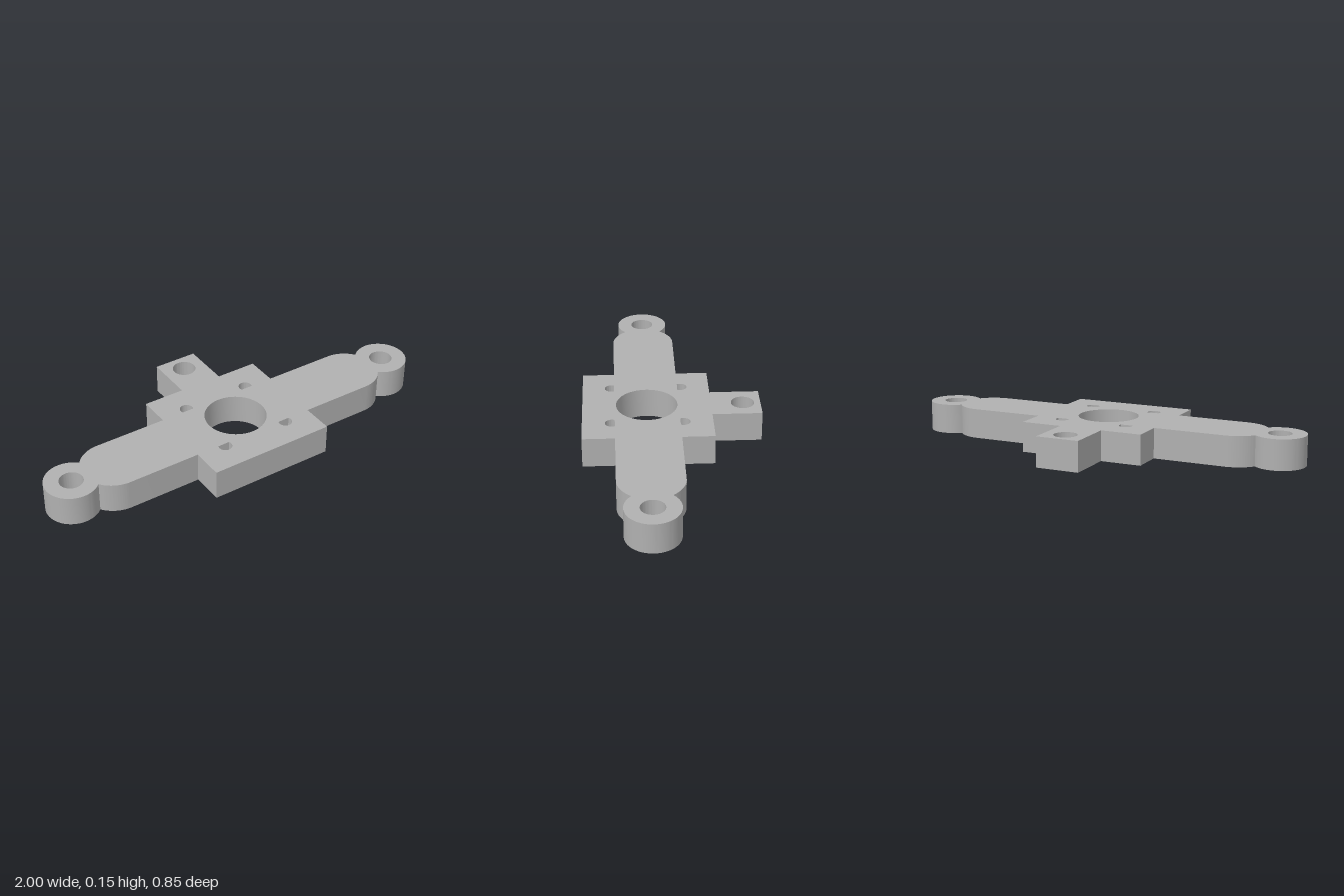
import * as THREE from 'three';
import { toCreasedNormals } from 'three/addons/utils/BufferGeometryUtils.js';

const THICK = 0.147;        // plate thickness
const CENTRE_Z = 0.119;     // z of the bore and arm axis
const ARM = { x: 0.66, r: 0.154 };    // rounded arm ends
const LUG = { x: 0.874, r: 0.126 };   // round end lugs
const BODY = 0.308;         // half width of the square body
const TAB = { w: 0.107, end: 0.546 }; // rear tab

// Outline drawn around the bore, with shape y pointing to the back
function plateOutline() {
  const PI = Math.PI;
  // Angles at which the arm end and the lug circle cross
  const d = LUG.x - ARM.x;
  const dx = (d * d + ARM.r ** 2 - LUG.r ** 2) / (2 * d);
  const dy = Math.sqrt(ARM.r ** 2 - dx * dx);
  const a = Math.atan2(dy, dx);
  const b = Math.atan2(dy, dx - d);

  const s = new THREE.Shape();
  s.moveTo(BODY, -BODY);
  s.lineTo(BODY, -ARM.r);
  // Left arm and lug
  s.absarc(ARM.x, 0, ARM.r, -PI / 2, -a);
  s.absarc(LUG.x, 0, LUG.r, -b, b);
  s.absarc(ARM.x, 0, ARM.r, a, PI / 2);
  // Body back edge with the tab
  for (const [x, y] of [
    [BODY, ARM.r], [BODY, BODY], [TAB.w, BODY], [TAB.w, TAB.end],
    [-TAB.w, TAB.end], [-TAB.w, BODY], [-BODY, BODY], [-BODY, ARM.r],
  ]) s.lineTo(x, y);
  // Right arm and lug
  s.absarc(-ARM.x, 0, ARM.r, PI / 2, PI - a);
  s.absarc(-LUG.x, 0, LUG.r, PI - b, PI + b);
  s.absarc(-ARM.x, 0, ARM.r, PI + a, 1.5 * PI);
  s.lineTo(-BODY, -ARM.r);
  s.lineTo(-BODY, -BODY);
  s.closePath();
  return s;
}

function roundHole(x, y, r) {
  return new THREE.Path().absarc(x, y, r, 0, Math.PI * 2, true);
}

// Small screw hole cut flat on the side facing the arm axis
function flatHole(x, side) {
  const r = 0.032, y = 0.168;
  const cut = Math.asin((y - ARM.r) / r);
  const turn = side > 0 ? 0 : Math.PI;
  const p = new THREE.Path();
  p.absarc(x, side * y, r, turn - cut, turn + Math.PI + cut);
  p.closePath();
  return p;
}

export function createModel() {
  const group = new THREE.Group();
  group.name = 'mountingBracket';
  const grey = new THREE.MeshStandardMaterial({ color: 0xb0b0b0 });
  grey.name = 'plain grey';

  const shape = plateOutline();
  shape.holes.push(
    roundHole(0, 0, 0.147),      // centre bore
    roundHole(0, 0.46, 0.056),   // tab hole
  );
  for (const sx of [-1, 1]) {
    shape.holes.push(roundHole(sx * LUG.x, 0, 0.056));
    for (const sy of [-1, 1]) shape.holes.push(flatHole(sx * 0.168, sy));
  }

  // Extrude upwards and lay flat
  const flat = new THREE.ExtrudeGeometry(shape, {
    depth: THICK, bevelEnabled: false, curveSegments: 32,
  });
  flat.rotateX(-Math.PI / 2);
  flat.translate(0, 0, CENTRE_Z);
  const plate = new THREE.Mesh(toCreasedNormals(flat, Math.PI / 6), grey);
  plate.name = 'bracketPlate';
  group.add(plate);
  return group;
}
